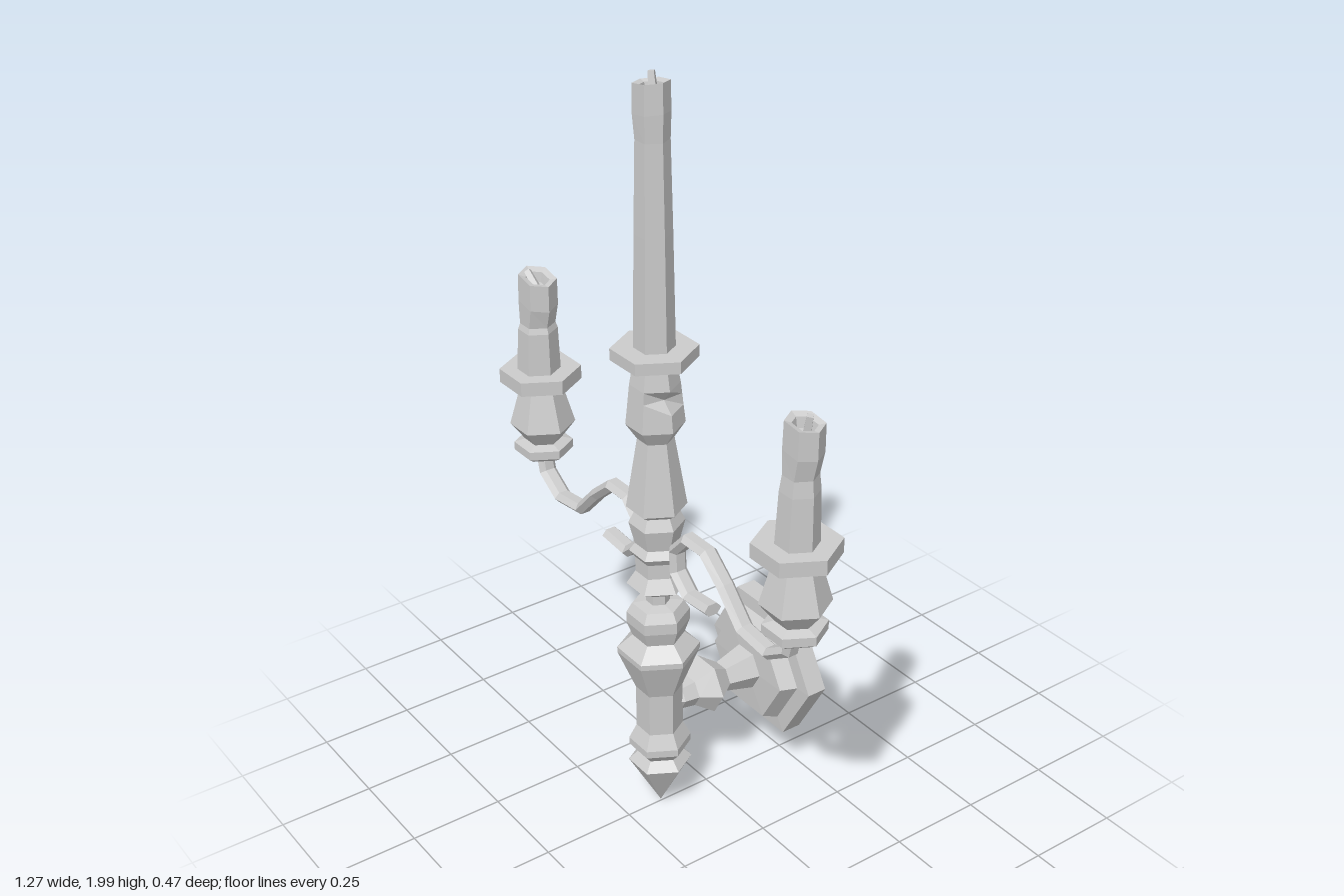
import * as THREE from 'three';

const AXIS_Z = 0.145;
const ARM_REACH = 0.53;
const material = new THREE.MeshStandardMaterial({ color: 0xcccccc, flatShading: true });

function addMesh(parent, name, geometry) {
  const mesh = new THREE.Mesh(geometry, material);
  mesh.name = name;
  parent.add(mesh);
  return mesh;
}

// Six-sided turned part from [radius, height] pairs, corners on the x axis.
function turned(profile) {
  return new THREE.LatheGeometry(profile.map(([r, y]) => new THREE.Vector2(r, y)), 6, Math.PI / 2);
}

// Move every vertex of a geometry by a rule.
function deform(geometry, rule) {
  const pos = geometry.attributes.position;
  const v = new THREE.Vector3();
  for (let i = 0; i < pos.count; i++) {
    v.fromBufferAttribute(pos, i);
    rule(v);
    pos.setXYZ(i, v.x, v.y, v.z);
  }
  geometry.computeVertexNormals();
  return geometry;
}

// Hexagonal bar swept along a flat path of [x, y] points.
function sweptBar(path, halfWidth, halfDepth) {
  const positions = [], index = [], sides = 6, n = path.length;
  path.forEach(([x, y], i) => {
    const a = path[Math.max(i - 1, 0)], b = path[Math.min(i + 1, n - 1)];
    const length = Math.hypot(b[0] - a[0], b[1] - a[1]);
    const nx = -(b[1] - a[1]) / length, ny = (b[0] - a[0]) / length;
    for (let k = 0; k < sides; k++) {
      const t = (k + 0.5) / sides * Math.PI * 2;
      const w = Math.cos(t) * halfWidth;
      positions.push(x + nx * w, y + ny * w, Math.sin(t) * halfDepth);
    }
  });
  for (let i = 0; i < n - 1; i++) {
    for (let k = 0; k < sides; k++) {
      const a = i * sides + k, b = i * sides + (k + 1) % sides;
      index.push(a, b, a + sides, b, b + sides, a + sides);
    }
  }
  const last = (n - 1) * sides;
  for (let k = 1; k < sides - 1; k++) {
    index.push(0, k + 1, k, last, last + k, last + k + 1);
  }
  const geometry = new THREE.BufferGeometry();
  geometry.setAttribute('position', new THREE.Float32BufferAttribute(positions, 3));
  geometry.setIndex(index);
  geometry.computeVertexNormals();
  return geometry;
}

// Candle with a hollow top, a slight lean and one side swollen by wax drips.
function candle(name, { x, base, height, radius, lean, drip, slope, wickX, wickZ, wickTilt }) {
  const group = new THREE.Group();
  group.name = name;
  group.position.set(x, base, AXIS_Z);
  const body = turned([
    [radius, 0], [radius * 0.9, height * 0.45], [radius * 0.8, height - 0.13],
    [radius * 0.84, height - 0.07], [radius * 0.82, height], [radius * 0.5, height - 0.005],
    [radius * 0.4, height - 0.03], [0, height - 0.03],
  ]);
  deform(body, (v) => {
    const nearTop = v.y > height - 0.1;
    if (nearTop) v.y += slope * v.x;
    if (nearTop && v.x * drip > 0) v.x += drip * 0.25;
    v.x += lean * v.y / height;
  });
  addMesh(group, 'wax', body);
  const wick = addMesh(group, 'wick', new THREE.CylinderGeometry(0.01, 0.013, 0.055, 4));
  wick.position.set(wickX, height - 0.008, wickZ);
  wick.rotation.z = wickTilt;
  return group;
}

export function createModel() {
  const model = new THREE.Group();
  model.name = 'wallCandelabra';

  // Central turned stem, pointed below, with a drip dish on top
  const stem = turned([
    [0, 0.01], [0.082, 0.15], [0.058, 0.175], [0.08, 0.2], [0.08, 0.22], [0.06, 0.26],
    [0.06, 0.38], [0.105, 0.49], [0.105, 0.505], [0.066, 0.54], [0.08, 0.58], [0.08, 0.61],
    [0.065, 0.635], [0.03, 0.64], [0.03, 0.665], [0.078, 0.695], [0.055, 0.73], [0.055, 0.77],
    [0.07, 0.79], [0.055, 0.81], [0.07, 0.87], [0.055, 0.9], [0.075, 0.915], [0.045, 1.1],
    [0.072, 1.14], [0.067, 1.185], [0.064, 1.215], [0.061, 1.245], [0.053, 1.29],
    [0.105, 1.31], [0.105, 1.34], [0, 1.34],
  ]);
  deform(stem, (v) => {
    // chipped notch on one edge of the socket
    if (Math.abs(v.y - 1.215) < 0.01 && v.x > 0.05) v.x -= 0.028;
  });
  addMesh(model, 'stem', stem).position.set(-0.005, 0, AXIS_Z);

  // Wall plate and bracket, turned about the z axis
  const bracket = addMesh(model, 'wallBracket', turned([
    [0, -0.235], [0.205, -0.235], [0.205, -0.18], [0.16, -0.178], [0.142, -0.135],
    [0.06, -0.132], [0.04, -0.05], [0.078, 0], [0.042, 0.05], [0.036, 0.09], [0.02, 0.115],
  ]));
  bracket.rotation.x = Math.PI / 2;
  bracket.position.set(-0.002, 0.325, 0);

  // Scrolled arms and their candle cups, one on each side
  const scroll = [
    [0.22, 0.727], [0.13, 0.72], [0.078, 0.765], [0.075, 0.825], [0.125, 0.878], [0.2, 0.878],
    [0.27, 0.82], [0.345, 0.742], [0.445, 0.73], [0.515, 0.775], [ARM_REACH, 0.84],
  ];
  const cupProfile = [
    [0, 0.825], [0.06, 0.825], [0.077, 0.837], [0.077, 0.86], [0.048, 0.868], [0.085, 0.915],
    [0.055, 1.02], [0.062, 1.035], [0.105, 1.037], [0.105, 1.075], [0, 1.075],
  ];
  for (const [side, sign] of [['left', 1], ['right', -1]]) {
    const path = scroll.map(([x, y]) => [x * sign, y]);
    if (sign < 0) path.reverse();
    addMesh(model, side + 'Arm', sweptBar(path, 0.017, 0.025)).position.set(-0.002, 0, AXIS_Z - 0.005);
    addMesh(model, side + 'Cup', turned(cupProfile)).position.set(ARM_REACH * sign - 0.002, 0, AXIS_Z - 0.005);
  }

  // Candles, each burnt down differently
  model.add(candle('centreCandle', {
    x: -0.005, base: 1.335, height: 0.64, radius: 0.05, lean: 0.005, drip: -0.02, slope: 0.15,
    wickX: -0.005, wickZ: -0.008, wickTilt: 0.15,
  }));
  model.add(candle('leftCandle', {
    x: 0.535, base: 1.07, height: 0.31, radius: 0.052, lean: 0.01, drip: 0.04, slope: -0.15,
    wickX: 0.022, wickZ: -0.003, wickTilt: -0.2,
  }));
  model.add(candle('rightCandle', {
    x: -0.53, base: 1.07, height: 0.265, radius: 0.056, lean: 0.008, drip: 0.04, slope: -0.25,
    wickX: 0.008, wickZ: 0.012, wickTilt: 0.9,
  }));
  return model;
}
